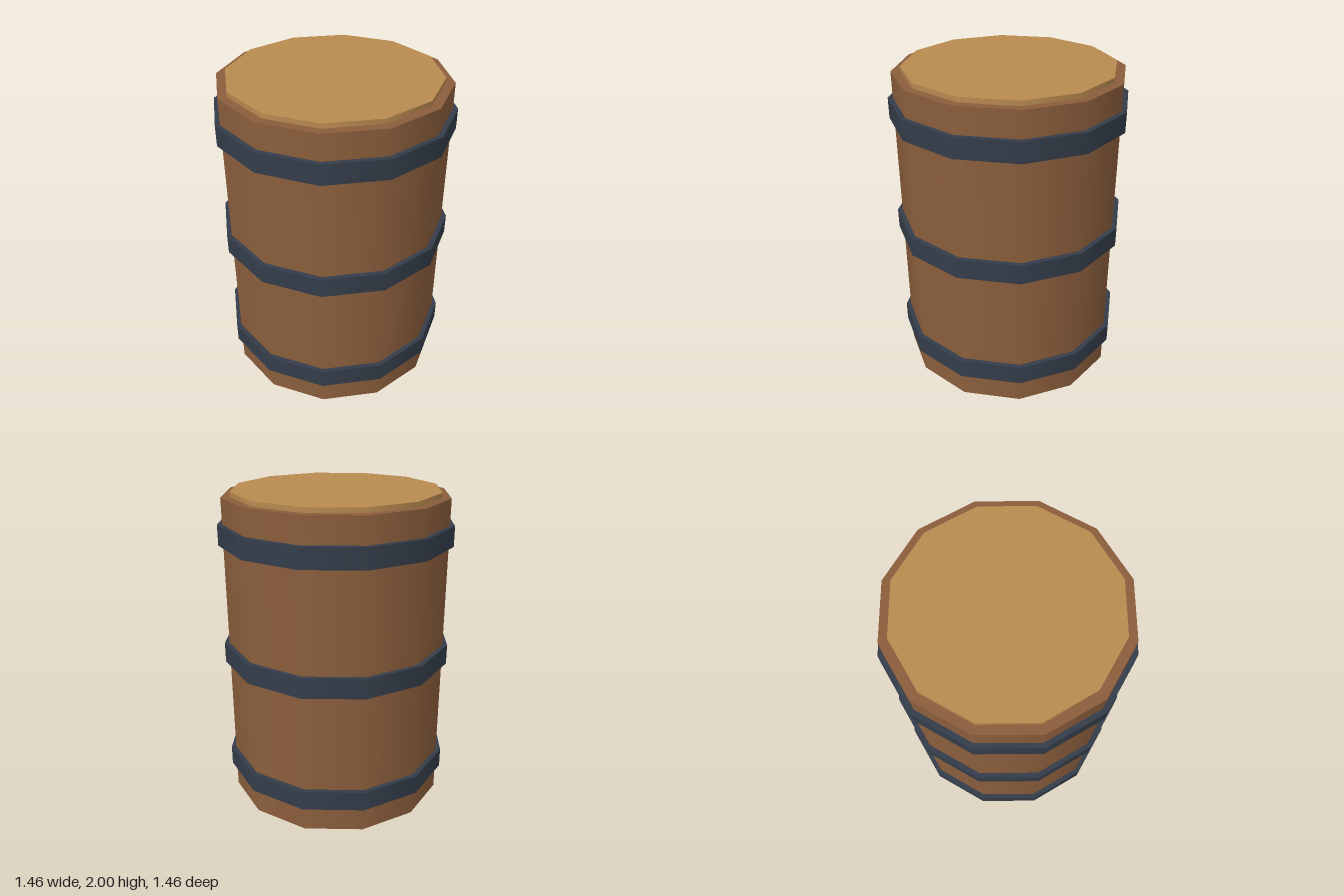
import * as THREE from 'three';

const SIDES = 12;

// Upright twelve-sided drum spanning y0 to y1, smooth around its side
function drum(name, radius, y0, y1, color) {
  const mesh = new THREE.Mesh(
    new THREE.CylinderGeometry(radius, radius, y1 - y0, SIDES),
    new THREE.MeshStandardMaterial({ color })
  );
  mesh.name = name;
  mesh.position.y = (y0 + y1) / 2;
  return mesh;
}

export function createModel() {
  const barrel = new THREE.Group();
  barrel.name = 'barrel';

  // Wooden body and the raised lid set into its top
  barrel.add(drum('body', 0.7, 0, 1.97, 0x8b5e3c));
  barrel.add(drum('lid', 0.645, 1.94, 2, 0xb98a50));

  // Three evenly spaced metal hoops
  ['lowerHoop', 'middleHoop', 'upperHoop'].forEach((name, i) => {
    const y = 0.227 + i * 0.76;
    barrel.add(drum(name, 0.73, y - 0.063, y + 0.063, 0x343d4a));
  });

  return barrel;
}
